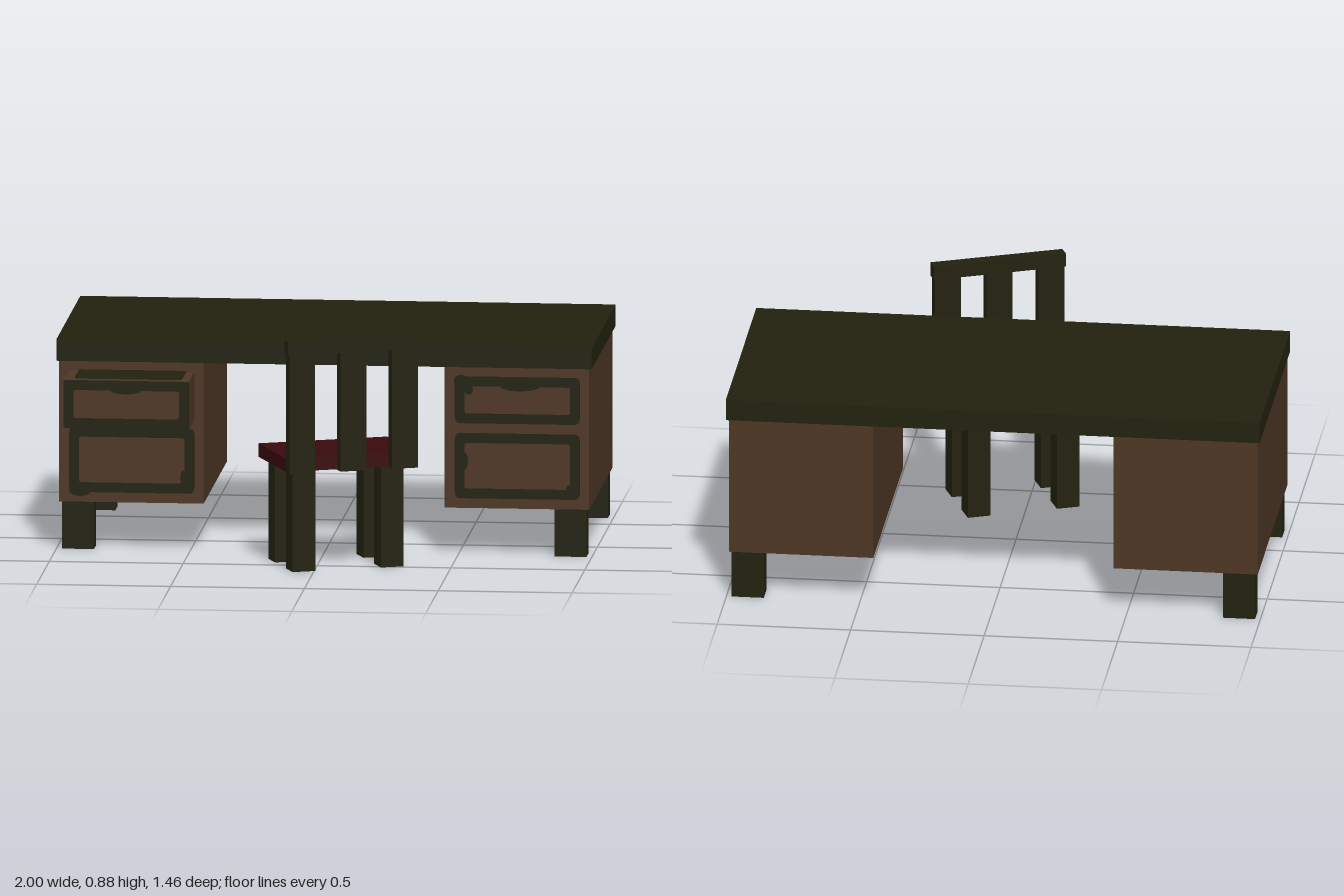
import * as THREE from 'three';

const wood = new THREE.MeshStandardMaterial({ color: 0x4d3624 });
wood.name = 'brown wood';
const dark = new THREE.MeshStandardMaterial({ color: 0x22210f });
dark.name = 'dark olive wood';
const red = new THREE.MeshStandardMaterial({ color: 0x390a0d });
red.name = 'dark red cushion';

// Box given by its minimum and maximum corners
function box(parent, name, material, [x0, y0, z0], [x1, y1, z1]) {
  const mesh = new THREE.Mesh(new THREE.BoxGeometry(x1 - x0, y1 - y0, z1 - z0), material);
  mesh.position.set((x0 + x1) / 2, (y0 + y1) / 2, (z0 + z1) / 2);
  mesh.name = name;
  parent.add(mesh);
  return mesh;
}

// Rectangle outline with rounded corners
function roundedRect(path, x0, y0, x1, y1, r) {
  path.moveTo(x0 + r, y0);
  path.lineTo(x1 - r, y0).quadraticCurveTo(x1, y0, x1, y0 + r);
  path.lineTo(x1, y1 - r).quadraticCurveTo(x1, y1, x1 - r, y1);
  path.lineTo(x0 + r, y1).quadraticCurveTo(x0, y1, x0, y1 - r);
  path.lineTo(x0, y0 + r).quadraticCurveTo(x0, y0, x0 + r, y0);
  return path;
}

function plate(shape, name) {
  const geometry = new THREE.ExtrudeGeometry(shape, { depth: 0.004, bevelEnabled: false, curveSegments: 6 });
  const mesh = new THREE.Mesh(geometry, dark);
  mesh.name = name;
  return mesh;
}

// Carved drawer border; each knot is an ellipse [x, y, rx, ry]
function drawerFrame(parent, name, [x0, y0, x1, y1], radius, z, knots) {
  const frame = new THREE.Group();
  frame.name = name;
  const outer = roundedRect(new THREE.Shape(), x0, y0, x1, y1, radius);
  outer.holes.push(roundedRect(new THREE.Path(), x0 + 0.037, y0 + 0.037, x1 - 0.037, y1 - 0.037, 0.008));
  frame.add(plate(outer, 'border'));
  for (const [x, y, rx, ry] of knots) {
    frame.add(plate(new THREE.Shape().absellipse(x, y, rx, ry, 0, Math.PI * 2), 'knot'));
  }
  frame.position.z = z;
  parent.add(frame);
}

function createDesk() {
  const desk = new THREE.Group();
  desk.name = 'desk';
  box(desk, 'deskTop', dark, [-1, 0.71, -0.73], [1, 0.79, 0.225]);
  for (const side of [-1, 1]) {
    const cabinet = box(desk, 'cabinet', wood, [-0.27, 0.178, -0.71], [0.27, 0.71, 0.217]);
    cabinet.position.x = side * 0.72;
    // Feet under the outer corners
    for (const z of [-0.67, 0.177]) {
      const foot = box(desk, 'deskFoot', dark, [-0.06, 0, -0.04], [0.06, 0.178, 0.04]);
      foot.position.x = side * 0.92;
      foot.position.z = z;
    }
  }

  // Drawer pulled open, with its dark inner panel
  box(desk, 'openDrawer', wood, [-0.952, 0.495, 0.2], [-0.485, 0.675, 0.437]);
  const inside = plate(roundedRect(new THREE.Shape(), -0.915, -0.404, -0.515, -0.2, 0.018), 'drawerInside');
  inside.rotation.x = -Math.PI / 2;
  inside.position.y = 0.674;
  desk.add(inside);

  // Drawer borders
  drawerFrame(desk, 'upperRightFrame', [-0.952, 0.495, -0.485, 0.675], 0.004, 0.436,
    [[-0.72, 0.64, 0.06, 0.016]]);
  drawerFrame(desk, 'lowerRightFrame', [-0.952, 0.215, -0.485, 0.461], 0.022, 0.216,
    [[-0.912, 0.222, 0.042, 0.022], [-0.524, 0.275, 0.014, 0.028]]);
  drawerFrame(desk, 'upperLeftFrame', [0.488, 0.498, 0.955, 0.675], 0.022, 0.216,
    [[0.51, 0.657, 0.026, 0.024], [0.73, 0.639, 0.075, 0.018], [0.54, 0.625, 0.016, 0.02]]);
  drawerFrame(desk, 'lowerLeftFrame', [0.488, 0.215, 0.955, 0.461], 0.022, 0.216,
    [[0.523, 0.355, 0.014, 0.035], [0.922, 0.258, 0.018, 0.014]]);
  return desk;
}

function createChair() {
  const chair = new THREE.Group();
  chair.name = 'chair';
  box(chair, 'seat', red, [-0.25, 0.384, -0.366], [0.25, 0.435, -0.02]);
  box(chair, 'topRail', dark, [-0.255, 0.83, -0.025], [0.255, 0.882, 0.025]);
  // Back slats
  for (const x of [-0.2, 0, 0.2]) {
    box(chair, 'backSlat', dark, [x - 0.05, 0.382, -0.022], [x + 0.05, 0.832, 0.022]);
  }
  // Legs
  for (const x of [-0.172, 0.172]) {
    for (const z of [-0.31, -0.089]) {
      box(chair, 'chairLeg', dark, [x - 0.044, 0, z - 0.044], [x + 0.044, 0.386, z + 0.044]);
    }
  }
  // Turned slightly away from the desk
  chair.rotation.y = Math.PI / 8;
  chair.position.set(0.14, 0, 0.607);
  return chair;
}

export function createModel() {
  const model = new THREE.Group();
  model.name = 'deskAndChair';
  model.add(createDesk(), createChair());
  return model;
}
